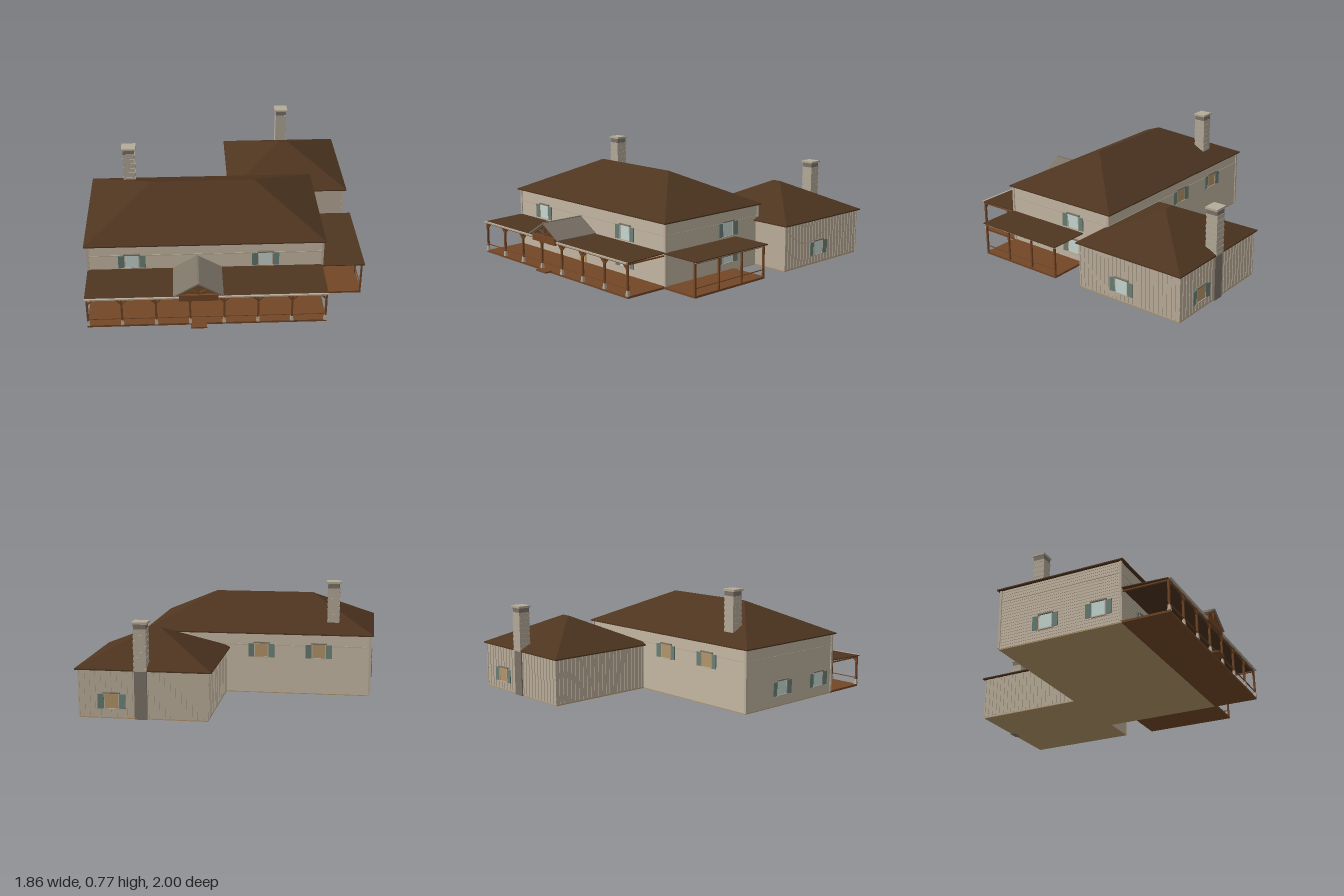
import * as THREE from 'three';

const mat = (name, color) => {
  const m = new THREE.MeshStandardMaterial({ color });
  m.name = name;
  return m;
};

// Box-like solid whose top rectangle may differ from its bottom one: [x0, x1, z0, z1]
function frustum(b, y0, t, y1) {
  const ring = (r, y) => [r[0], y, r[3], r[1], y, r[3], r[1], y, r[2], r[0], y, r[2]];
  let g = new THREE.BufferGeometry();
  g.setAttribute('position', new THREE.Float32BufferAttribute([...ring(b, y0), ...ring(t, y1)], 3));
  const idx = [0, 2, 1, 0, 3, 2];
  for (let i = 0; i < 4; i++) {
    const j = (i + 1) % 4;
    idx.push(i, j, j + 4, i, j + 4, i + 4);
  }
  if (t[2] !== t[3]) idx.push(4, 5, 6, 4, 6, 7);
  g.setIndex(idx);
  g = g.toNonIndexed();
  g.computeVertexNormals();
  return g;
}

const grow = (r, d) => [r[0] - d, r[1] + d, r[2] - d, r[3] + d];

export function createModel() {
  const root = new THREE.Group();
  root.name = 'house';
  const M = {
    wall: mat('wall boards', 0xbdb09c),
    roof: mat('roof brown', 0x4e3520),
    timber: mat('porch timber', 0x744727),
    stone: mat('chimney stone', 0xb5ab99),
    grey: mat('grey shingle', 0x7d7468),
    glass: mat('window glass', 0xcadbd5),
    shutter: mat('shutter green', 0x6b8178),
    door: mat('door tan', 0xc2a464),
    tan: mat('foundation tan', 0xb5966a),
  };
  const add = (name, geo, m, parent = root) => {
    const mesh = new THREE.Mesh(geo, m);
    mesh.name = name;
    parent.add(mesh);
    return mesh;
  };
  const box = (name, m, w, h, d, x, y, z, parent = root) => {
    const mesh = add(name, new THREE.BoxGeometry(w, h, d), m, parent);
    mesh.position.set(x, y, z);
    return mesh;
  };
  const group = (name) => {
    const g = new THREE.Group();
    g.name = name;
    root.add(g);
    return g;
  };
  // Bar between two points in a plane facing +z
  const bar = (name, m, x0, y0, x1, y1, z, t, d, parent) => {
    const b = box(name, m, Math.hypot(x1 - x0, y1 - y0), t, d, (x0 + x1) / 2, (y0 + y1) / 2, z, parent);
    b.rotation.z = Math.atan2(y1 - y0, x1 - x0);
  };

  // Main house: foundation, lapped boards, corner trim and floor band
  const main = [-0.907, 0.638, -0.217, 0.638];
  const wing = [0.08, 0.903, -0.976, -0.2];
  add('mainFoundation', frustum(main, 0, main, 0.006), M.tan);
  const siding = group('mainSiding');
  const rows = 20, rowH = 0.416 / rows;
  for (let i = 0; i < rows; i++) {
    const y = 0.006 + i * rowH;
    add('sidingBoard', frustum(grow(main, 0.003), y, main, y + rowH), M.wall, siding);
  }
  for (const x of [main[0], main[1]]) for (const z of [main[2], main[3]])
    box('cornerTrim', M.wall, 0.016, 0.41, 0.016, x, 0.217, z);
  add('bandTrim', frustum(grow(main, 0.005), 0.335, grow(main, 0.005), 0.342), M.wall);

  // Wing: foundation, plain walls and vertical battens
  add('wingFoundation', frustum(wing, 0, wing, 0.006), M.tan);
  add('wingWalls', frustum(wing, 0.006, wing, 0.315), M.wall);
  const battens = group('wingBattens');
  for (let i = 0; i <= 24; i++) {
    const x = wing[0] + (wing[1] - wing[0]) * i / 24;
    const z = wing[2] + (wing[3] - wing[2]) * i / 24;
    box('batten', M.wall, 0.009, 0.303, 0.008, x, 0.1635, wing[2], battens);
    for (const sx of [wing[0], wing[1]])
      box('batten', M.wall, 0.008, 0.303, 0.009, sx, 0.1635, z, battens);
  }

  // Hip roofs with a thin fascia
  const hip = (name, r, y, ridge, top) => {
    const g = group(name);
    add('fascia', frustum(r, y - 0.008, r, y), M.roof, g);
    add('slopes', frustum(r, y, ridge, top), M.roof, g);
  };
  hip('mainRoof', [-0.93, 0.656, -0.238, 0.66], 0.425, [-0.485, 0.21, 0.21, 0.21], 0.647);
  hip('wingRoof', [0.055, 0.925, -0.993, -0.18], 0.318, [0.46, 0.52, -0.587, -0.587], 0.517);

  // Chimneys in alternating stone courses with a stepped cap
  const chimney = (name, x, z, y0, y1) => {
    const g = group(name);
    const n = Math.round((y1 - 0.045 - y0) / 0.018), h = (y1 - 0.045 - y0) / n;
    for (let i = 0; i < n; i++) {
      const w = i % 2 ? 0.079 : 0.083;
      box('stoneCourse', M.stone, w, h, w, x, y0 + h * (i + 0.5), z, g);
    }
    box('chimneyNeck', M.grey, 0.078, 0.034, 0.078, x, y1 - 0.029, z, g);
    box('chimneyCap', M.stone, 0.098, 0.014, 0.09, x, y1 - 0.007, z, g);
  };
  chimney('mainChimney', -0.65, -0.075, 0.42, 0.77);
  chimney('wingChimney', 0.503, -0.952, 0.31, 0.622);
  box('chimneyBreast', M.grey, 0.08, 0.31, 0.04, 0.503, 0.155, -0.968);

  // Shuttered windows; the angle turns them from the front wall
  const windowAt = (x, y, z, angle, glass = M.glass) => {
    const g = group('window');
    g.position.set(x, y, z);
    g.rotation.y = angle;
    box('pane', glass, 0.088, 0.092, 0.006, 0, 0, 0.005, g);
    for (const s of [-1, 1]) {
      box('frameSide', M.wall, 0.006, 0.106, 0.01, s * 0.046, 0, 0.005, g);
      const sh = box('shutter', M.shutter, 0.04, 0.094, 0.006, s * 0.07, -0.002, 0.008, g);
      sh.rotation.y = -s * 0.12;
    }
    box('frameSill', M.wall, 0.104, 0.007, 0.012, 0, -0.05, 0.006, g);
    box('frameHead', M.grey, 0.108, 0.008, 0.014, 0, 0.052, 0.007, g);
  };
  for (const x of [-0.62, 0.26]) for (const y of [0.297, 0.115]) windowAt(x, y, main[3] + 0.002, 0);
  for (const y of [0.297, 0.115]) windowAt(main[1] + 0.002, y, 0.082, Math.PI / 2);
  for (const z of [0.12, 0.49]) windowAt(main[0] - 0.002, 0.125, z, -Math.PI / 2);
  for (const x of [-0.56, -0.165]) windowAt(x, 0.304, main[2] - 0.002, Math.PI, M.tan);
  windowAt(wing[1] + 0.003, 0.113, -0.54, Math.PI / 2);
  windowAt(0.69, 0.115, wing[2] - 0.003, Math.PI, M.tan);

  // Front door
  box('door', M.door, 0.066, 0.128, 0.008, -0.188, 0.078, main[3] + 0.006);

  // Front porch: deck, step, flat roof, gutter, rail
  const porch = group('frontPorch');
  box('deck', M.timber, 1.545, 0.014, 0.312, -0.135, 0.007, 0.794, porch);
  box('step', M.timber, 0.105, 0.01, 0.055, -0.19, 0.012, 0.972, porch);
  const porchRoof = box('porchRoof', M.roof, 1.555, 0.006, 0.31, -0.137, 0.227, 0.796, porch);
  porchRoof.rotation.x = 0.03;
  box('gutter', M.stone, 1.555, 0.009, 0.014, -0.137, 0.223, 0.957, porch);
  box('beam', M.timber, 1.545, 0.008, 0.012, -0.135, 0.213, 0.944, porch);
  box('rail', M.timber, 1.54, 0.005, 0.006, -0.135, 0.06, 0.944, porch);
  for (let i = 0; i < 8; i++) {
    const x = -0.9 + i * 0.2186, z = 0.944;
    box('post', M.timber, 0.013, 0.2, 0.013, x, 0.114, z, porch);
    const base = [x - 0.011, x + 0.011, z - 0.011, z + 0.011];
    add('postBase', frustum(base, 0.014, grow(base, -0.004), 0.05), M.stone, porch);
    for (const s of [-1, 1])
      if ((i > 0 || s > 0) && (i < 7 || s < 0))
        bar('brace', M.timber, x, 0.175, x + s * 0.035, 0.212, z, 0.009, 0.009, porch);
  }
  for (const x of [-0.9, 0.63]) box('endBeam', M.timber, 0.012, 0.008, 0.3, x, 0.213, 0.79, porch);

  // Entrance gable with an open truss and a blank board
  const gable = group('entranceGable');
  for (const s of [-1, 1]) {
    bar('gableSlope', M.grey, -0.19, 0.334, -0.19 + s * 0.158, 0.241, 0.813, 0.009, 0.318, gable);
    bar('rafter', M.timber, -0.19, 0.32, -0.19 + s * 0.14, 0.238, 0.957, 0.008, 0.014, gable);
    bar('strut', M.timber, -0.19, 0.255, -0.19 + s * 0.06, 0.283, 0.957, 0.008, 0.01, gable);
  }
  box('ridgeCap', M.grey, 0.012, 0.006, 0.318, -0.19, 0.337, 0.813, gable);
  box('kingPost', M.timber, 0.011, 0.075, 0.012, -0.19, 0.283, 0.957, gable);
  box('entranceBoard', M.timber, 0.25, 0.046, 0.014, -0.19, 0.226, 0.963, gable);

  // Side porch: deck, flat roof, pale edge, posts and rail
  const side = group('sidePorch');
  box('deck', M.timber, 0.275, 0.014, 0.636, 0.775, 0.007, 0.332, side);
  box('porchRoof', M.roof, 0.285, 0.006, 0.654, 0.783, 0.229, 0.328, side);
  box('edgeTrim', M.stone, 0.008, 0.005, 0.65, 0.918, 0.2235, 0.328, side);
  box('beam', M.timber, 0.01, 0.008, 0.636, 0.905, 0.217, 0.332, side);
  box('rail', M.timber, 0.006, 0.005, 0.636, 0.905, 0.06, 0.332, side);
  for (const z of [0.02, 0.228, 0.436, 0.644])
    box('post', M.timber, 0.012, 0.212, 0.012, 0.905, 0.12, z, side);
  return root;
}
